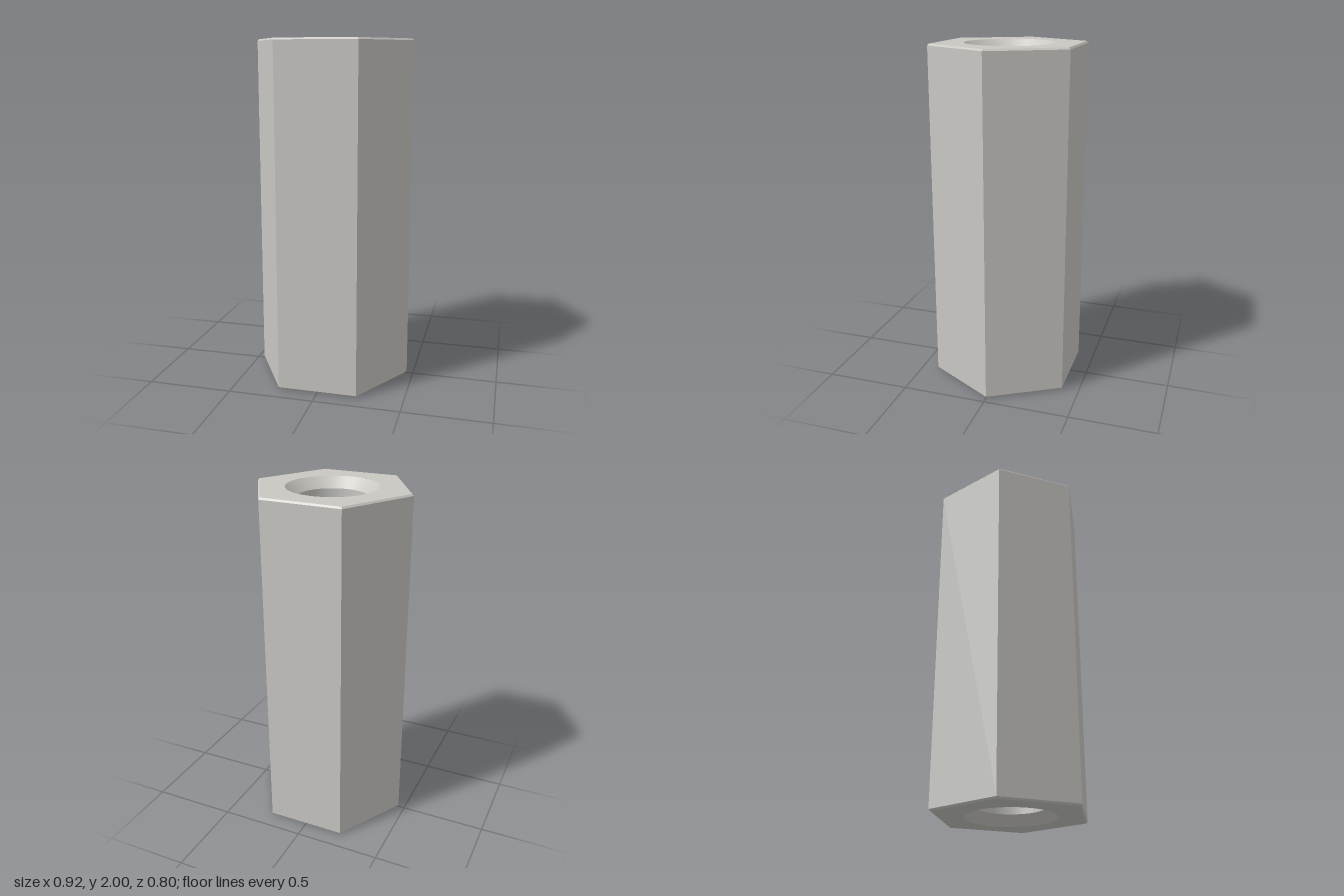
import * as THREE from 'three';
import { toCreasedNormals } from 'three/addons/utils/BufferGeometryUtils.js';

const HEIGHT = 2;
const HEX = 0.462;      // corner radius of the hexagon
const BEVEL = 0.01;     // edge bevel
const BORE = 0.198;     // hole radius
const SINK = 0.257;     // countersink radius at the end faces
const ROUND = 96;

export function createModel() {
  const group = new THREE.Group();
  group.name = 'hexStandoff';
  const metal = new THREE.MeshStandardMaterial({ color: 0xc8c7c2 });
  metal.name = 'light grey metal';

  const add = (name, geometry) => {
    const mesh = new THREE.Mesh(geometry, metal);
    mesh.name = name;
    group.add(mesh);
    return mesh;
  };
  const lathe = (pairs, sides, start = 0) => toCreasedNormals(
    new THREE.LatheGeometry(pairs.map(([r, y]) => new THREE.Vector2(r, y)), sides, start), 0.3);

  // Six-sided outer wall with bevelled ends, corners on the x axis
  add('hexBody', lathe([
    [HEX - BEVEL, 0], [HEX, BEVEL], [HEX, HEIGHT - BEVEL], [HEX - BEVEL, HEIGHT],
  ], 6, Math.PI / 2));

  // Through hole with a 45 degree countersink at each end, facing inward
  const depth = SINK - BORE;
  add('bore', lathe([
    [SINK, HEIGHT], [BORE, HEIGHT - depth], [BORE, depth], [SINK, 0],
  ], ROUND));

  // Flat hexagonal end faces with a round opening
  const corners = Array.from({ length: 6 }, (_, i) => {
    const a = (i * Math.PI) / 3;
    return new THREE.Vector2(Math.cos(a), Math.sin(a)).multiplyScalar(HEX - BEVEL);
  });
  const face = new THREE.Shape(corners);
  face.holes.push(new THREE.Path().absarc(0, 0, SINK, 0, Math.PI * 2, true));
  for (const [name, y, turn] of [['topFace', HEIGHT, -1], ['bottomFace', 0, 1]]) {
    const geometry = new THREE.ShapeGeometry(face, ROUND);
    geometry.rotateX((turn * Math.PI) / 2);
    add(name, geometry).position.y = y;
  }
  return group;
}
